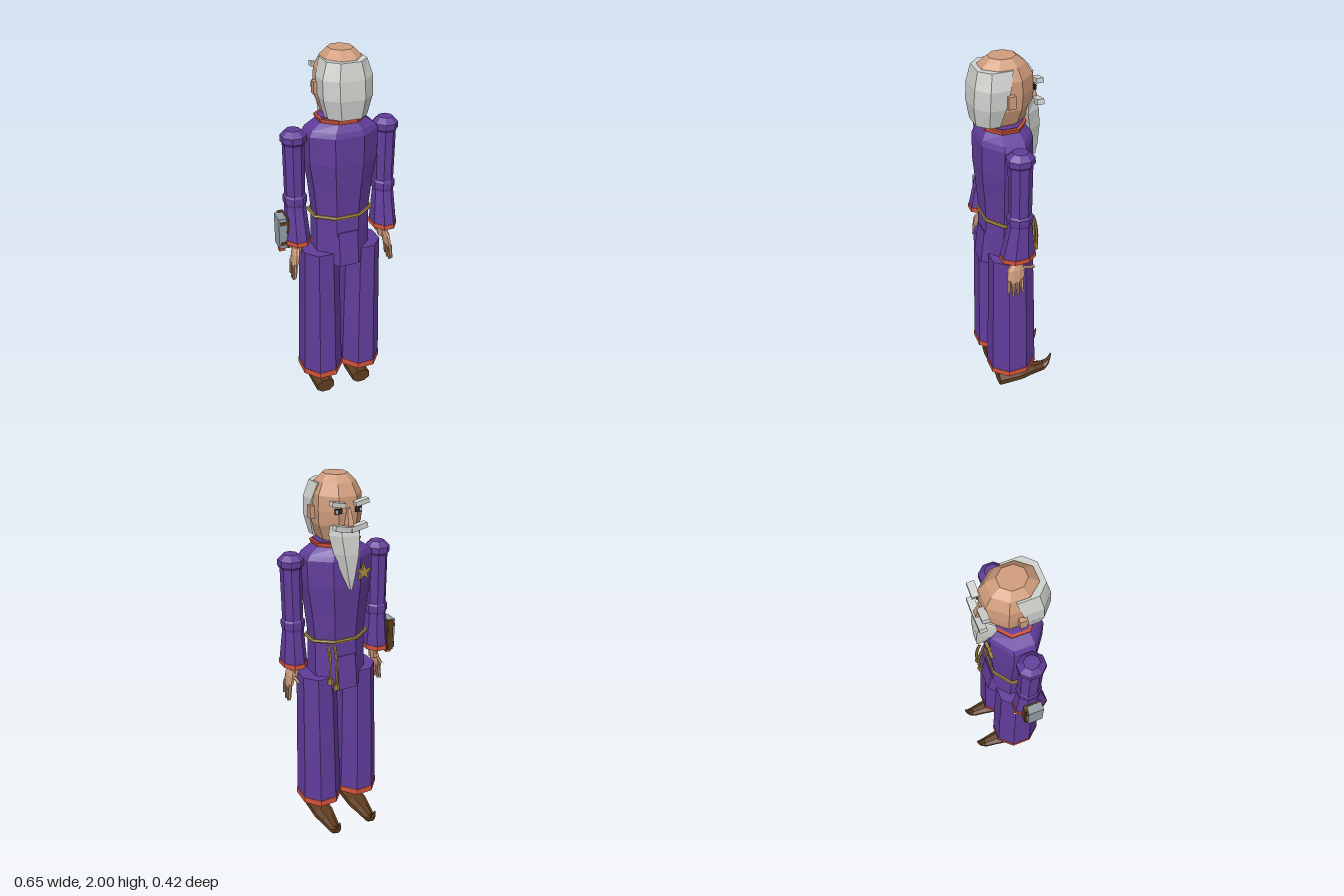
import * as THREE from 'three';

const mat = (name, color) => {
  const m = new THREE.MeshStandardMaterial({ color });
  m.name = name;
  return m;
};

export function createModel() {
  const purple = mat('robePurple', 0x613d9a), red = mat('trimRed', 0xd0523a), skin = mat('skin', 0xd09c7c),
    grey = mat('hairGrey', 0xcfd1cd), gold = mat('ropeGold', 0xa88a42), brown = mat('leatherBrown', 0x5f3d1f),
    steel = mat('bookGrey', 0x939ca6), dark = mat('eyeDark', 0x2a2522);

  const model = new THREE.Group();
  model.name = 'robedOldMan';
  const body = new THREE.Group();
  body.name = 'figure';
  body.position.x = 0.017; // the book at one hip shifts the body off centre
  model.add(body);

  const add = (name, geo, material, parent = body) => {
    const flat = geo.index ? geo.toNonIndexed() : geo;
    flat.computeVertexNormals();
    const mesh = new THREE.Mesh(flat, material);
    mesh.name = name;
    parent.add(mesh);
    return mesh;
  };

  // closed, faceted skin over equal-sized rings of [x, y, z]
  const loft = (rings) => {
    const p = [], n = rings[0].length;
    const tri = (a, b, c) => p.push(...a, ...b, ...c);
    for (let k = 0; k + 1 < rings.length; k++) {
      for (let i = 0; i < n; i++) {
        const j = (i + 1) % n, a = rings[k], b = rings[k + 1];
        tri(a[i], a[j], b[j]);
        tri(a[i], b[j], b[i]);
      }
    }
    const first = rings[0], last = rings[rings.length - 1];
    for (let i = 1; i + 1 < n; i++) {
      tri(first[0], first[i + 1], first[i]);
      tri(last[0], last[i], last[i + 1]);
    }
    const g = new THREE.BufferGeometry();
    g.setAttribute('position', new THREE.Float32BufferAttribute(p, 3));
    return g;
  };

  // octagonal rows: [y, half width x, half depth z, centre z, centre x]
  const oct = (rows, sides = 8) => loft(rows.map(([y, hx, hz, cz = 0.053, cx = 0]) =>
    Array.from({ length: sides }, (_, i) => {
      const a = (i + 0.5) / sides * Math.PI * 2, k = 1 / Math.cos(Math.PI / sides);
      return [cx + Math.cos(a) * hx * k, y, cz - Math.sin(a) * hz * k];
    })));

  const box = (name, w, h, d, x, y, z, material, parent) => {
    const m = add(name, new THREE.BoxGeometry(w, h, d), material, parent);
    m.position.set(x, y, z);
    return m;
  };
  const tube = (name, pts, r, material, parent) => {
    const curve = new THREE.CatmullRomCurve3(pts.map(q => new THREE.Vector3(...q)));
    return add(name, new THREE.TubeGeometry(curve, 6, r, 6), material, parent);
  };

  // torso and tunic
  add('torso', oct([[0.95, 0.145, 0.125], [1.17, 0.142, 0.112], [1.33, 0.158, 0.122], [1.46, 0.178, 0.132],
    [1.6, 0.18, 0.13], [1.625, 0.165, 0.122], [1.66, 0.115, 0.1]]), purple);
  add('tunicFlap', oct([[0.895, 0.125, 0.145], [1.08, 0.125, 0.122]]), purple);
  add('collar', oct([[1.655, 0.114, 0.1], [1.68, 0.122, 0.104]]), red);
  add('collarLining', oct([[1.66, 0.1, 0.085], [1.683, 0.108, 0.092]]), purple);

  // rope belt with two hanging cords
  const belt = add('belt', new THREE.TorusGeometry(1, 0.065, 6, 8).rotateZ(Math.PI / 8).rotateX(Math.PI / 2), gold);
  belt.scale.set(0.167, 0.15, 0.124);
  belt.position.set(0, 1.165, 0.053);
  for (const [dx, end] of [[0, 0.91], [0.035, 0.95]]) {
    const x = 0.07 + dx;
    tube('beltCord', [[x, 1.165, -0.07], [x, 1.12, -0.085], [x, 1.03, -0.097], [x, end + 0.03, -0.095], [x, end, -0.092]], 0.008, gold);
    add('cordKnot', oct([[end - 0.005, 0.015, 0.013, -0.092, x], [end + 0.03, 0.011, 0.011, -0.093, x]], 6), gold);
  }

  // chest star
  const star = new THREE.Shape(Array.from({ length: 10 }, (_, i) => {
    const a = i / 10 * Math.PI * 2 + Math.PI / 2, r = i % 2 ? 0.018 : 0.045;
    return new THREE.Vector2(Math.cos(a) * r, Math.sin(a) * r);
  }));
  const badge = add('star', new THREE.ExtrudeGeometry(star, { depth: 0.015, bevelEnabled: false }), gold);
  badge.position.set(-0.085, 1.53, -0.095);

  // head, neck and hair
  add('neck', oct([[1.6, 0.075, 0.07], [1.72, 0.08, 0.08]]), skin);
  add('head', oct([[1.69, 0.085, 0.1], [1.77, 0.114, 0.132], [1.84, 0.118, 0.14], [1.91, 0.114, 0.134],
    [1.965, 0.088, 0.105], [2.0, 0.056, 0.062]]), skin);
  const hair = [[1.695, 0.1, 0.1, 0.15, 0.2], [1.79, 0.124, 0.077, 0.155, 0.212], [1.88, 0.125, 0.055, 0.15, 0.205],
    [1.96, 0.1, 0.035, 0.135, 0.185]];
  add('hair', loft(hair.map(([y, w, front, mid, back]) => [[w, y, mid], [w, y, front], [-w, y, front],
    [-w, y, mid], [-w * 0.5, y, back], [w * 0.5, y, back]])), grey);

  // face
  add('nose', loft([[1.77, 0.02, -0.115], [1.785, 0.021, -0.118], [1.86, 0.011, -0.095]].map(([y, w, z]) =>
    [[w, y, -0.06], [w * 0.7, y, z], [-w * 0.7, y, z], [-w, y, -0.06]])), skin);
  add('beard', loft([[1.46, 0.008, -0.108, -0.12], [1.52, 0.03, -0.088, -0.126], [1.64, 0.068, -0.062, -0.126],
    [1.73, 0.085, -0.045, -0.115], [1.775, 0.08, -0.05, -0.098]].map(([y, w, back, front]) =>
    [[w, y, back], [w * 0.55, y, front], [-w * 0.55, y, front], [-w, y, back]])), grey);

  for (const s of [-1, 1]) {
    const side = s > 0 ? 'left' : 'right';
    const part = (name) => side + name;

    box(part('Ear'), 0.028, 0.062, 0.036, s * 0.126, 1.824, 0.055, skin);
    box(part('Eye'), 0.034, 0.024, 0.012, s * 0.052, 1.848, -0.086, dark);
    box(part('EyeWhite'), 0.011, 0.015, 0.006, s * 0.064, 1.848, -0.091, grey);
    box(part('Brow'), 0.07, 0.022, 0.035, s * 0.062, 1.884, -0.097, grey).rotation.z = s * 0.2;
    box(part('Moustache'), 0.085, 0.026, 0.035, s * 0.043, 1.77, -0.108, grey).rotation.z = s * 0.2;

    // robe leg with coloured hem, ankle and curled shoe
    const lx = s * 0.116;
    add(part('RobeLeg'), oct([[0.185, 0.113, 0.13, 0.053, lx], [0.55, 0.105, 0.121, 0.053, lx],
      [0.96, 0.096, 0.11, 0.055, lx]]), purple);
    add(part('RobeHem'), oct([[0.155, 0.116, 0.133, 0.053, lx], [0.19, 0.115, 0.132, 0.053, lx]]), red);
    const fx = s * 0.113;
    add(part('Ankle'), oct([[0.07, 0.022, 0.022, 0.055, fx], [0.095, 0.034, 0.03, 0.055, fx],
      [0.13, 0.034, 0.03, 0.055, fx], [0.155, 0.024, 0.024, 0.055, fx]]), brown);
    // rows run from heel to toe: [distance forward, half width, half height, centre height]
    add(part('Shoe'), oct([[-0.135, 0.052, 0.04, 0.04, fx], [0, 0.055, 0.037, 0.037, fx],
      [0.08, 0.041, 0.031, 0.034, fx], [0.155, 0.029, 0.025, 0.026, fx], [0.185, 0.019, 0.022, 0.045, fx],
      [0.2, 0.012, 0.014, 0.08, fx], [0.207, 0.006, 0.006, 0.107, fx]]).rotateX(-Math.PI / 2), brown);

    // sleeve
    const ax = s * 0.2425, c = 0.056;
    add(part('Sleeve'), oct([[1.05, 0.063, 0.085, 0.068, ax], [1.235, 0.05, 0.055, c, ax], [1.25, 0.056, 0.06, c, ax],
      [1.285, 0.056, 0.06, c, ax], [1.295, 0.048, 0.054, c, ax], [1.56, 0.05, 0.055, c, ax],
      [1.575, 0.06, 0.065, c, ax], [1.605, 0.059, 0.064, c, ax], [1.632, 0.034, 0.036, c, ax]]), purple);
    add(part('Cuff'), oct([[1.033, 0.066, 0.089, 0.067, ax], [1.057, 0.065, 0.087, 0.067, ax]]), red);

    // hand
    const hand = new THREE.Group();
    hand.name = part('Hand');
    hand.position.x = s * 0.27;
    body.add(hand);
    add('wrist', oct([[0.96, 0.02, 0.027, 0.07, -s * 0.03], [1.05, 0.02, 0.026, 0.06, -s * 0.045]]), skin, hand);
    add('palm', oct([[0.895, 0.011, 0.036, 0.088], [0.92, 0.015, 0.046, 0.086, -s * 0.006],
      [0.965, 0.017, 0.044, 0.083, -s * 0.014], [0.995, 0.016, 0.028, 0.075, -s * 0.022]]), skin, hand);
    for (let i = 0; i < 4; i++) {
      const z = 0.055 + i * 0.023, tip = [0.825, 0.81, 0.812, 0.835][i];
      add('finger', oct([[tip, 0.005, 0.006, z + (i - 1.5) * 0.004, s * 0.008], [0.86, 0.008, 0.008, z, s * 0.004],
        [0.91, 0.009, 0.009, z]], 6), skin, hand);
    }
    tube('thumb', [[-s * 0.012, 0.955, 0.06], [-s * 0.018, 0.96, 0.03], [-s * 0.022, 0.95, 0], [-s * 0.022, 0.948, -0.022]],
      0.009, skin, hand);
  }

  // book hanging at one hip
  const book = new THREE.Group();
  book.name = 'book';
  model.add(book);
  box('pages', 0.045, 0.17, 0.08, -0.305, 1.098, 0.06, steel, book);
  box('spine', 0.03, 0.175, 0.02, -0.295, 1.098, 0.016, brown, book);
  box('innerCover', 0.01, 0.175, 0.094, -0.281, 1.098, 0.055, brown, book);
  for (const y of [1.04, 1.155]) box('strap', 0.038, 0.018, 0.094, -0.303, y, 0.056, brown, book);
  box('ribbon', 0.032, 0.035, 0.03, -0.305, 0.998, 0.055, red, book);

  return model;
}
